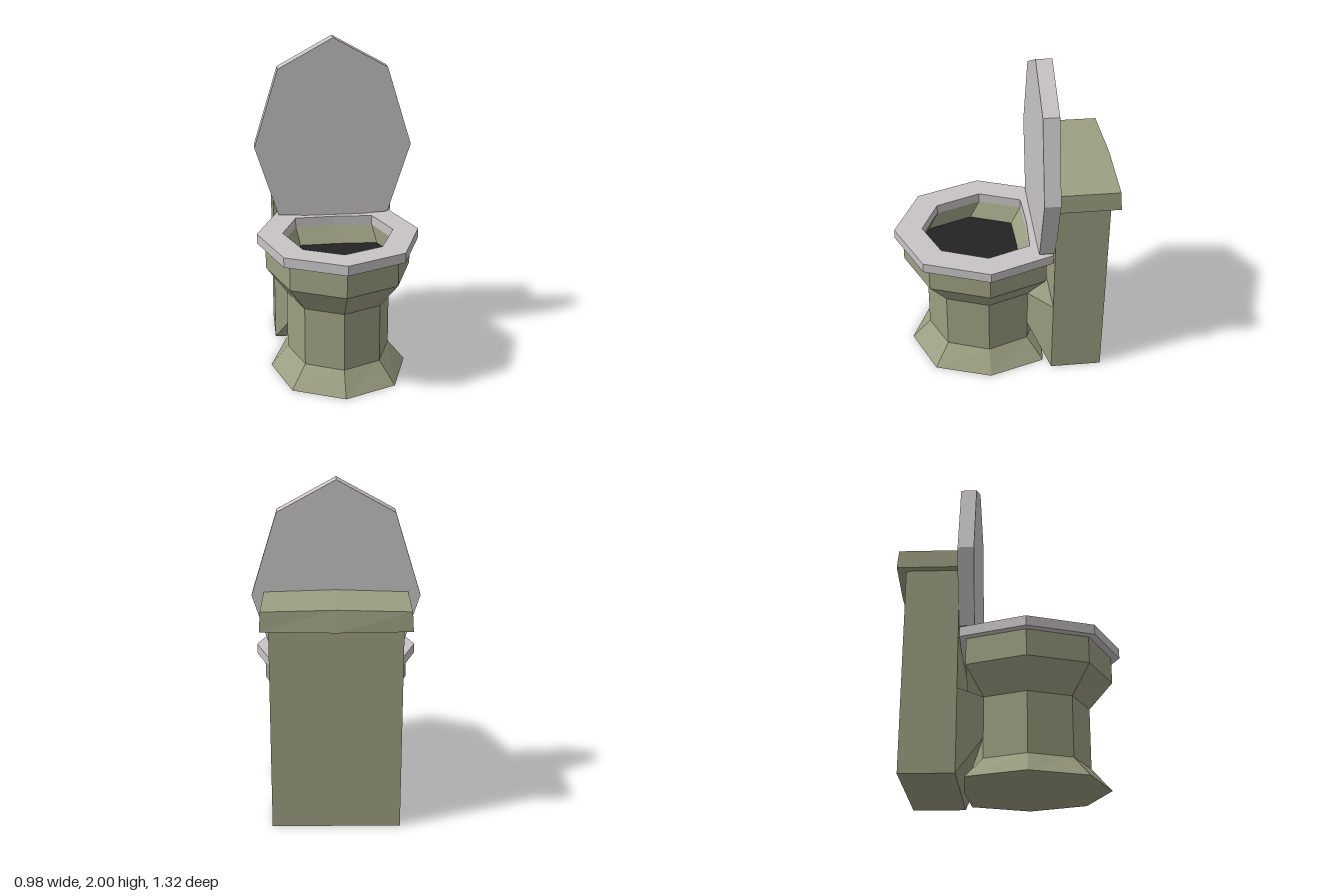
import * as THREE from 'three';

const mat = (name, color) => {
  const m = new THREE.MeshStandardMaterial({ color });
  m.name = name;
  return m;
};

// Skins a series of matching closed rings; each ring is a list of [x, y, z].
function loft(rings, capStart = true, capEnd = true) {
  const pos = [];
  const tri = (a, b, c) => pos.push(...a, ...b, ...c);
  const n = rings[0].length;
  for (let r = 0; r < rings.length - 1; r++) {
    const a = rings[r], b = rings[r + 1];
    for (let i = 0; i < n; i++) {
      const j = (i + 1) % n;
      tri(a[i], a[j], b[j]);
      tri(a[i], b[j], b[i]);
    }
  }
  const last = rings[rings.length - 1];
  for (let i = 1; i < n - 1; i++) {
    if (capStart) tri(rings[0][0], rings[0][i + 1], rings[0][i]);
    if (capEnd) tri(last[0], last[i], last[i + 1]);
  }
  const g = new THREE.BufferGeometry();
  g.setAttribute('position', new THREE.Float32BufferAttribute(pos, 3));
  g.computeVertexNormals();
  return g;
}

// Completes a half outline (front point, right-hand points, back point) by mirroring.
const mirror = (half) => [...half, ...half.slice(1, -1).reverse().map(([x, z]) => [-x, z])];
const ring = (half, y, dx = 0, dz = 0) => mirror(half).map(([x, z]) => [x + dx, y, z + dz]);

export function createModel() {
  const olive = mat('olive ceramic', 0x9c9f82);
  const grey = mat('pale grey seat', 0xc8c4c6);
  const black = mat('dark basin', 0x232323);

  const group = new THREE.Group();
  group.name = 'toilet';
  const add = (name, geometry, material) => {
    const mesh = new THREE.Mesh(geometry, material);
    mesh.name = name;
    group.add(mesh);
    return mesh;
  };

  // Outlines as [x, z], front to back
  const foot = [[0, 0.585], [0.31, 0.45], [0.42, 0.11], [0.31, -0.235], [0, -0.26]];
  const column = [[0, 0.47], [0.225, 0.365], [0.315, 0.11], [0.225, -0.14], [0, -0.24]];
  const rim = [[0, 0.61], [0.315, 0.465], [0.44, 0.11], [0.315, -0.24], [0, -0.252]];
  const seatOuter = [[0, 0.66], [0.35, 0.5], [0.49, 0.11], [0.35, -0.275], [0, -0.285]];
  const hole = [[0, 0.49], [0.232, 0.385], [0.335, 0.11], [0.24, -0.145], [0, -0.155]];

  // Pedestal and bowl
  add('bowl', loft([
    ring(foot, 0), ring(column, 0.13), ring(column, 0.495),
    ring(rim, 0.66), ring(rim, 0.82), ring(hole, 0.82), ring(hole, 0.72, 0.025, 0.06),
  ], true, false), olive);
  add('basinFloor', loft([ring(hole, 0.72, 0.025, 0.06)], false, true), black);

  // Seat ring
  add('seat', loft([
    ring(seatOuter, 0.82), ring(seatOuter, 0.88), ring(hole, 0.88),
    ring(hole, 0.82), ring(seatOuter, 0.82),
  ], false, false), grey);

  // Raised lid
  const lidHalf = [[0, 0.87], [0.345, 0.89], [0.485, 1.33], [0.335, 1.815], [0, 2]];
  const lidShape = new THREE.Shape(mirror(lidHalf).map(([x, y]) => new THREE.Vector2(x, y)));
  const lid = new THREE.ExtrudeGeometry(lidShape, { depth: 0.095, bevelEnabled: false });
  add('seatLid', lid.translate(0, 0, -0.285), grey);

  // Tapered block joining pedestal and tank
  const block = (w, y, z) => [[-w, y, z], [w, y, z], [w, 0.495, z], [-w, 0.495, z]];
  add('connector', loft([block(0.375, 0, -0.28), block(0.225, 0.25, -0.14)]), olive);

  // Tank
  const tank = new THREE.BoxGeometry(0.75, 1.24, 0.315);
  add('tank', tank.translate(0, 0.62, -0.4375), olive);

  // Tank cover with a slightly ridged top and back
  const cover = (w, ySide, yMid, zSide, zMid) => [
    [0, yMid, -0.28], [w, ySide, -0.28], [w, ySide, zSide],
    [0, yMid, zMid], [-w, ySide, zSide], [-w, ySide, -0.28],
  ];
  add('tankCover', loft([
    cover(0.422, 1.237, 1.237, -0.645, -0.664),
    cover(0.415, 1.35, 1.363, -0.637, -0.645),
  ]), olive);

  return group;
}
